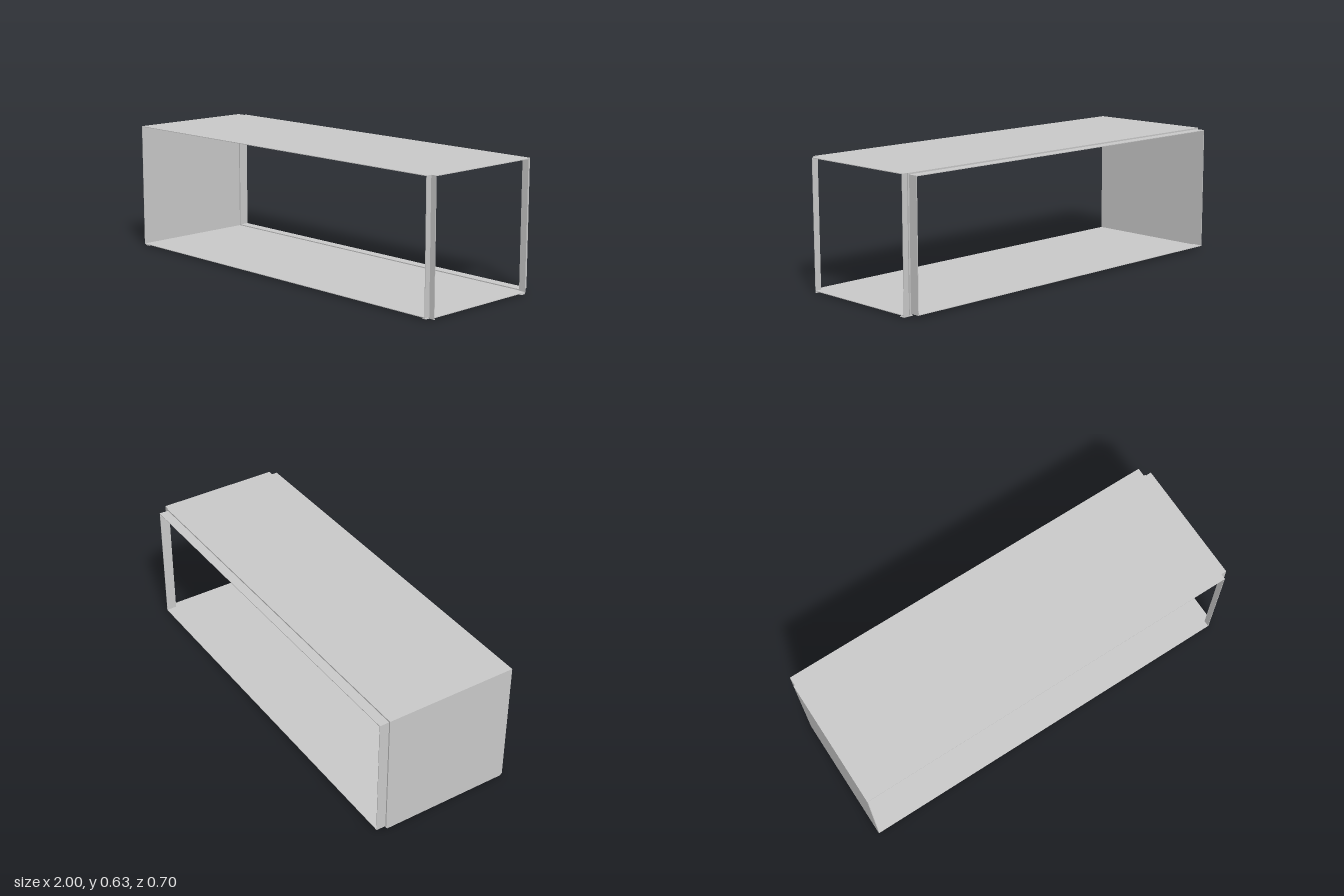
import * as THREE from 'three';

const T = 0.003; // sheet thickness
const H = 0.627; // overall height
const BASE = 0.007; // underside of the bottom sheet

export function createModel() {
  const group = new THREE.Group();
  const material = new THREE.MeshStandardMaterial({ color: 0xcccccc, side: THREE.DoubleSide });

  const add = (name, geometry) => {
    const mesh = new THREE.Mesh(geometry, material);
    mesh.name = name;
    group.add(mesh);
    return mesh;
  };

  // Box given by its limits on each axis
  const box = (name, x0, x1, y0, y1, z0, z1) =>
    add(name, new THREE.BoxGeometry(x1 - x0, y1 - y0, z1 - z0))
      .position.set((x0 + x1) / 2, (y0 + y1) / 2, (z0 + z1) / 2);

  // Outline of [x, z] points raised from y0 to y1
  const raise = (name, points, y0, y1) => {
    const shape = new THREE.Shape(points.map(([x, z]) => new THREE.Vector2(x, -z)));
    const geometry = new THREE.ExtrudeGeometry(shape, { depth: y1 - y0, bevelEnabled: false });
    geometry.rotateX(-Math.PI / 2).translate(0, y0, 0);
    return add(name, geometry);
  };

  // Top and bottom sheets, notched at the front right corner
  const sheet = [[-1, 0.35], [0.972, 0.35], [0.972, 0.322], [1, 0.322], [1, -0.298], [0.972, -0.298], [0.972, -0.303], [-1, -0.303]];
  raise('topSheet', sheet, H - T, H);
  raise('bottomSheet', sheet, BASE, BASE + T);

  // Left wall
  box('leftWall', -1, -1 + T, BASE, H, -0.303, 0.35);

  // Stepped-in rear rim on the top, the bottom and the left wall
  const rimTop = H - 0.007, rimBase = 0.012, rimLeft = -0.993, rimRight = 0.965;
  box('topRim', rimLeft, rimRight, rimTop - T, rimTop, -0.35, -0.3);
  box('topRimStep', -1, 0.972, rimTop - T, H, -0.303, -0.3);
  box('bottomRim', rimLeft, rimRight, rimBase, rimBase + T, -0.35, -0.3);
  box('bottomRimStep', -1, 0.972, BASE, rimBase + T, -0.303, -0.3);
  box('leftRim', rimLeft, rimLeft + T, rimBase, rimTop, -0.35, -0.3);
  box('leftRimStep', -1, rimLeft + T, BASE, H, -0.303, -0.3);

  // Folded corner posts on the open right side
  raise('frontPost', [[0.969, 0.35], [0.972, 0.35], [0.972, 0.322], [1, 0.322], [1, 0.319], [0.969, 0.319]], BASE, H);
  raise('rearPost', [[0.969, -0.295], [1, -0.295], [1, -0.298], [0.972, -0.298], [0.972, -0.303], [0.969, -0.303]], BASE, H);
  box('rearPostRim', rimRight - T, rimRight, rimBase, rimTop, -0.35, -0.3);
  box('rearPostStep', rimRight - T, 0.972, BASE, H, -0.303, -0.3);

  // Tabs folded under the bottom sheet
  box('leftTab', -1, -0.972, 0, T, -0.297, 0.343);
  box('leftTabFold', -1, -1 + T, 0, BASE, -0.297, 0.343);
  for (const [name, z0, z1, fold] of [['front', 0.315, 0.343, 0.319], ['rear', -0.297, -0.27, -0.297]]) {
    box(name + 'PostTab', 0.95, 1, 0, T, z0, z1 > 0 ? 0.322 : z1);
    box(name + 'PostTabFold', 0.969, 1, 0, BASE, fold, fold + T);
  }
  box('frontPostInnerTab', 0.95, 0.972, 0, T, 0.315, 0.343);

  return group;
}
